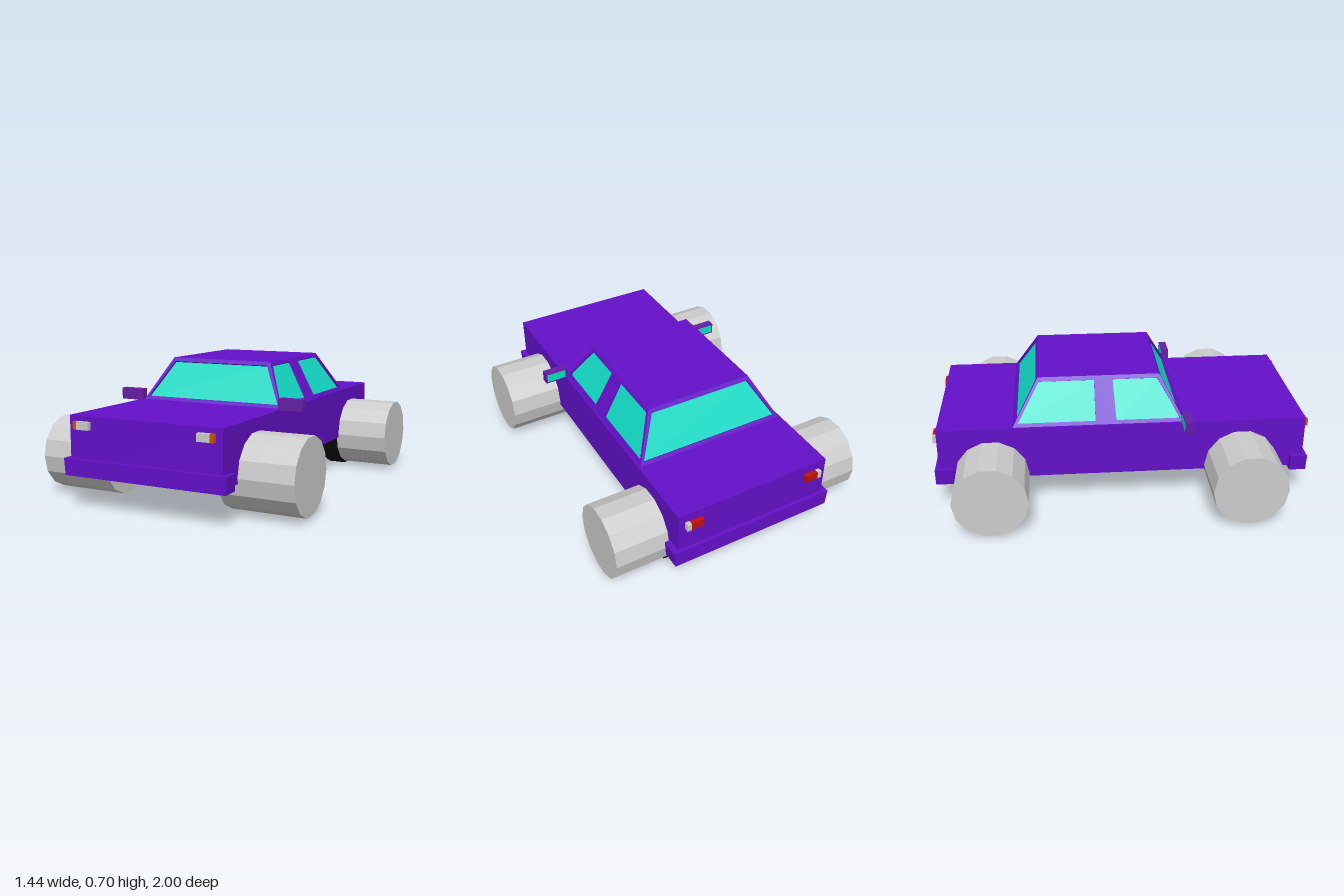
import * as THREE from 'three';

const mat = (color, extra = {}) => new THREE.MeshStandardMaterial({ color, flatShading: true, ...extra });

export function createModel() {
  const model = new THREE.Group();
  const paint = mat(0x6310c8);
  const mirrorPaint = mat(0x651da6);
  const glass = mat(0x12dcc6, { side: THREE.DoubleSide });
  const grey = mat(0xcccccc);
  const black = mat(0x0a0a0a);
  const orange = mat(0xd05010);
  const red = mat(0xc01010);

  const add = (name, geometry, material, parent = model) => {
    const mesh = new THREE.Mesh(geometry, material);
    mesh.name = name;
    parent.add(mesh);
    return mesh;
  };
  // Box given by its minimum and maximum along each axis
  const block = (name, [x0, x1], [y0, y1], [z0, z1], material) => {
    const g = new THREE.BoxGeometry(x1 - x0, y1 - y0, z1 - z0);
    g.translate((x0 + x1) / 2, (y0 + y1) / 2, (z0 + z1) / 2);
    return add(name, g, material);
  };
  // Same box on both sides of the car
  const pair = (name, [x0, x1], ys, zs, material) => {
    block(name + 'Left', [x0, x1], ys, zs, material);
    block(name + 'Right', [-x1, -x0], ys, zs, material);
  };

  // Main body
  block('body', [-0.43, 0.43], [0.185, 0.472], [-0.975, 0.975], paint);

  // Bumpers, slightly narrower at the bottom
  for (const [name, z0, z1] of [['frontBumper', 0.905, 0.995], ['rearBumper', -0.995, -0.9]]) {
    const g = block(name, [-0.46, 0.46], [0.168, 0.255], [z0, z1], paint).geometry;
    const p = g.attributes.position;
    for (let i = 0; i < p.count; i++) if (p.getY(i) < 0.2) p.setX(i, p.getX(i) * 0.985);
    g.computeVertexNormals();
  }

  // Cabin: sloping walls with window openings and recessed glass
  const cabin = new THREE.Group();
  cabin.name = 'cabin';
  model.add(cabin);
  const Y0 = 0.47, Y1 = 0.70;
  const base = { x: 0.42, front: 0.325, rear: -0.58 };
  const roof = { x: 0.298, front: 0.2, rear: -0.44 };
  const polygon = pts => pts.map(([a, b]) => new THREE.Vector2(a, b));

  // Points are [position along the wall, height]; out is the slope run, place sets the wall
  const wall = (name, outline, windows, run, angle, offset) => {
    const slant = Math.hypot(Y1 - Y0, run) / (Y1 - Y0);
    const local = pts => polygon(pts.map(([a, y]) => [a, (y - Y0) * slant]));
    const shape = new THREE.Shape(local(outline));
    windows.forEach(w => shape.holes.push(new THREE.Path(local(w))));
    const place = g => g
      .rotateX(-Math.atan2(run, Y1 - Y0))
      .translate(0, Y0, offset)
      .rotateY(angle);
    const frame = new THREE.ExtrudeGeometry(shape, { depth: 0.015, bevelEnabled: false });
    add(name, place(frame.translate(0, 0, -0.015)), paint, cabin);
    windows.forEach((w, i) => {
      const pane = new THREE.ShapeGeometry(new THREE.Shape(local(w)));
      add(`${name}Window${i + 1}`, place(pane.translate(0, 0, -0.012)), glass, cabin);
    });
  };

  const endOutline = [[-base.x, Y0], [base.x, Y0], [roof.x, Y1], [-roof.x, Y1]];
  const endWindow = [[-0.395, 0.49], [0.395, 0.49], [0.285, 0.68], [-0.285, 0.68]];
  wall('windshieldFrame', endOutline, [endWindow], base.front - roof.front, 0, base.front);
  wall('rearFrame', endOutline, [endWindow], roof.rear - base.rear, Math.PI, -base.rear);

  const sideOutline = [[base.front, Y0], [base.rear, Y0], [roof.rear, Y1], [roof.front, Y1]];
  const sideWindows = [
    [[0.305, 0.49], [-0.035, 0.49], [-0.048, 0.68], [0.188, 0.68]],
    [[-0.145, 0.49], [-0.552, 0.49], [-0.435, 0.68], [-0.145, 0.68]],
  ];
  // Distance along the wall runs towards -z on the left side and +z on the right
  const flip = pts => pts.map(([z, y]) => [-z, y]);
  const sideRun = base.x - roof.x;
  wall('leftSide', flip(sideOutline), sideWindows.map(flip), sideRun, Math.PI / 2, base.x);
  wall('rightSide', sideOutline, sideWindows, sideRun, -Math.PI / 2, base.x);
  block('roof', [-roof.x, roof.x], [Y1 - 0.012, Y1], [roof.rear, roof.front], paint);

  // Wheels, with dark inner drums on the rear pair
  const wheel = (name, radius, x0, x1, y, z, material) => {
    for (const s of [1, -1]) {
      const g = new THREE.CylinderGeometry(radius, radius, x1 - x0, 14);
      g.rotateZ(Math.PI / 2);
      add(name + (s > 0 ? 'Left' : 'Right'), g, material).position.set(s * (x0 + x1) / 2, y, z);
    }
  };
  wheel('frontWheel', 0.198, 0.322, 0.72, 0.21, 0.637, grey);
  wheel('rearWheel', 0.196, 0.42, 0.72, 0.204, -0.698, grey);
  wheel('rearDrum', 0.196, 0.322, 0.42, 0.192, -0.698, black);

  // Headlights and tail lights
  pair('headlight', [0.305, 0.374], [0.405, 0.445], [0.96, 1.0], grey);
  pair('turnSignal', [0.374, 0.395], [0.405, 0.445], [0.96, 1.0], orange);
  pair('tailLight', [0.3, 0.37], [0.385, 0.425], [-1.0, -0.96], red);
  pair('reverseLight', [0.37, 0.393], [0.385, 0.425], [-1.0, -0.96], grey);

  // Side mirrors with glass facing the rear
  pair('mirror', [0.415, 0.552], [0.468, 0.53], [0.308, 0.35], mirrorPaint);
  pair('mirrorGlass', [0.435, 0.543], [0.476, 0.522], [0.306, 0.31], glass);

  return model;
}
